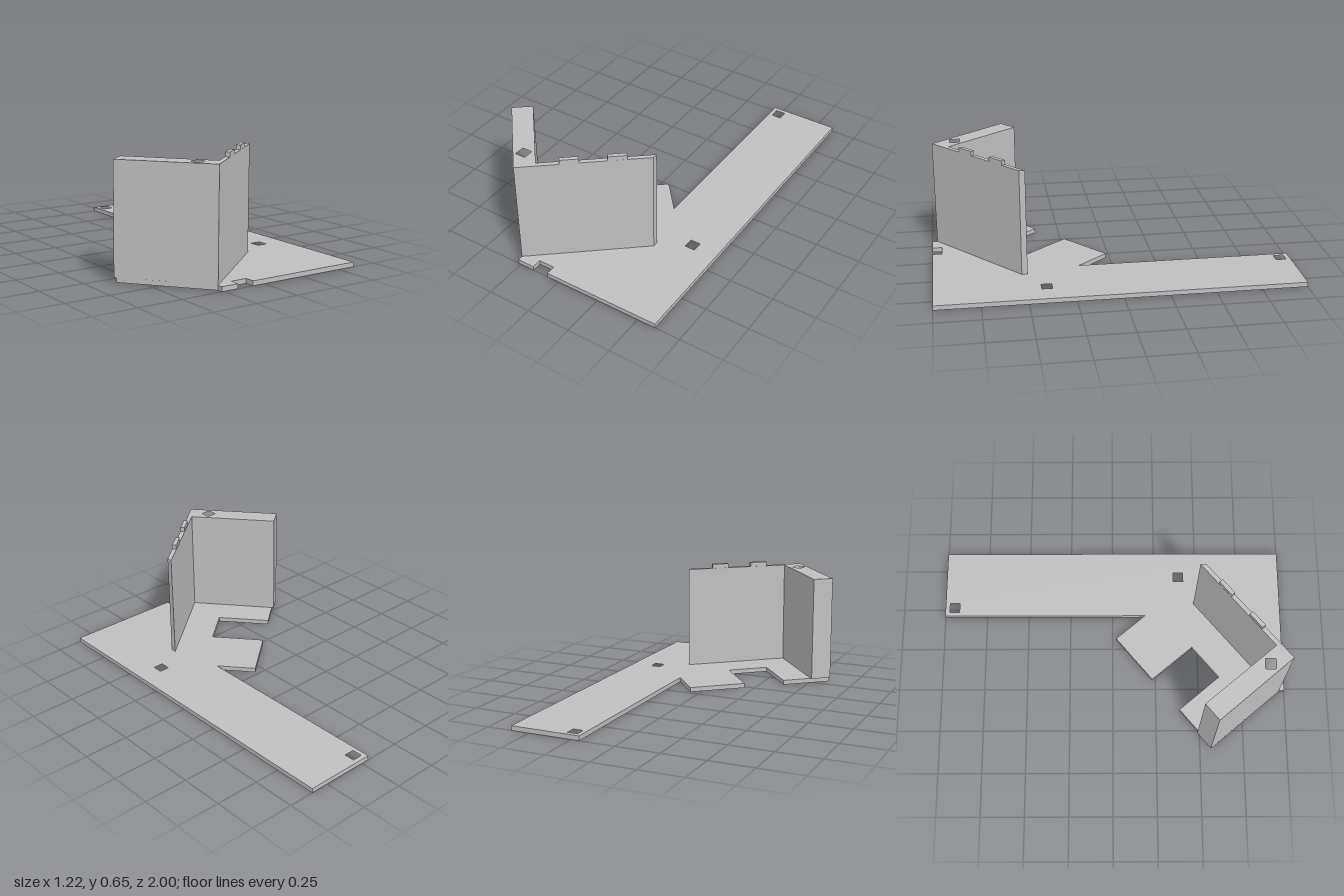
import * as THREE from 'three';

const plastic = new THREE.MeshStandardMaterial({ color: 0xc0c0c0 });
plastic.name = 'light grey';

// Path from plan points [x, z]
const toVectors = (points) => points.map(([x, z]) => new THREE.Vector2(x, -z));

// Square through-hole centred on (x, z)
function squareHole([x, z], half = 0.029) {
  return new THREE.Path(toVectors([
    [x - half, z - half], [x + half, z - half], [x + half, z + half], [x - half, z + half],
  ]));
}

// Upright prism from a plan outline, between two heights
function prism(name, points, bottom, top, holes = []) {
  const shape = new THREE.Shape(toVectors(points));
  shape.holes = holes.map((h) => squareHole(h));
  const geometry = new THREE.ExtrudeGeometry(shape, { depth: top - bottom, bevelEnabled: false });
  geometry.rotateX(-Math.PI / 2);
  geometry.translate(0, bottom, 0);
  const mesh = new THREE.Mesh(geometry, plastic);
  mesh.name = name;
  return mesh;
}

export function createModel() {
  const group = new THREE.Group();
  group.name = 'bracket';
  const plateTop = 0.026, wallTop = 0.625, tabTop = 0.65;
  const blockHole = [-0.3, 0.842];

  // Base plate: long arm, two slanted fingers and a small front notch
  group.add(prism('basePlate', [
    [0.203, -1], [0.605, -1], [0.605, 1],
    [-0.072, 1], [-0.072, 0.945], [-0.165, 0.945], [-0.165, 1],
    [-0.265, 1], [-0.265, 0.97], [-0.602, 0.57],
    [-0.38, 0.387], [-0.182, 0.622], [0.003, 0.468],
    [-0.195, 0.231], [0.058, 0.021], [0.203, 0.193],
  ], 0, plateTop, [[0.256, -0.945], [0.452, 0.396], blockHole]));

  // Thick side wall with a vertical hole through it
  group.add(prism('sideBlock', [
    [-0.265, 0.97], [-0.61, 0.56], [-0.52, 0.486], [-0.195, 0.878],
  ], plateTop, wallTop, [blockHole]));

  // Thin slanted wall
  group.add(prism('thinWall', [
    [-0.265, 0.97], [-0.195, 0.878], [0.279, 0.484], [0.279, 0.516],
  ], plateTop, wallTop));

  // Two tabs on the top edge of the thin wall
  const frontZ = (x) => 0.97 - 0.835 * (x + 0.265);
  for (const x of [-0.088, 0.1]) {
    const a = [x, frontZ(x)], b = [x + 0.078, frontZ(x + 0.078)];
    const back = ([px, pz]) => [px - 0.015, pz - 0.018];
    group.add(prism('wallTab', [a, b, back(b), back(a)], wallTop, tabTop));
  }
  return group;
}
